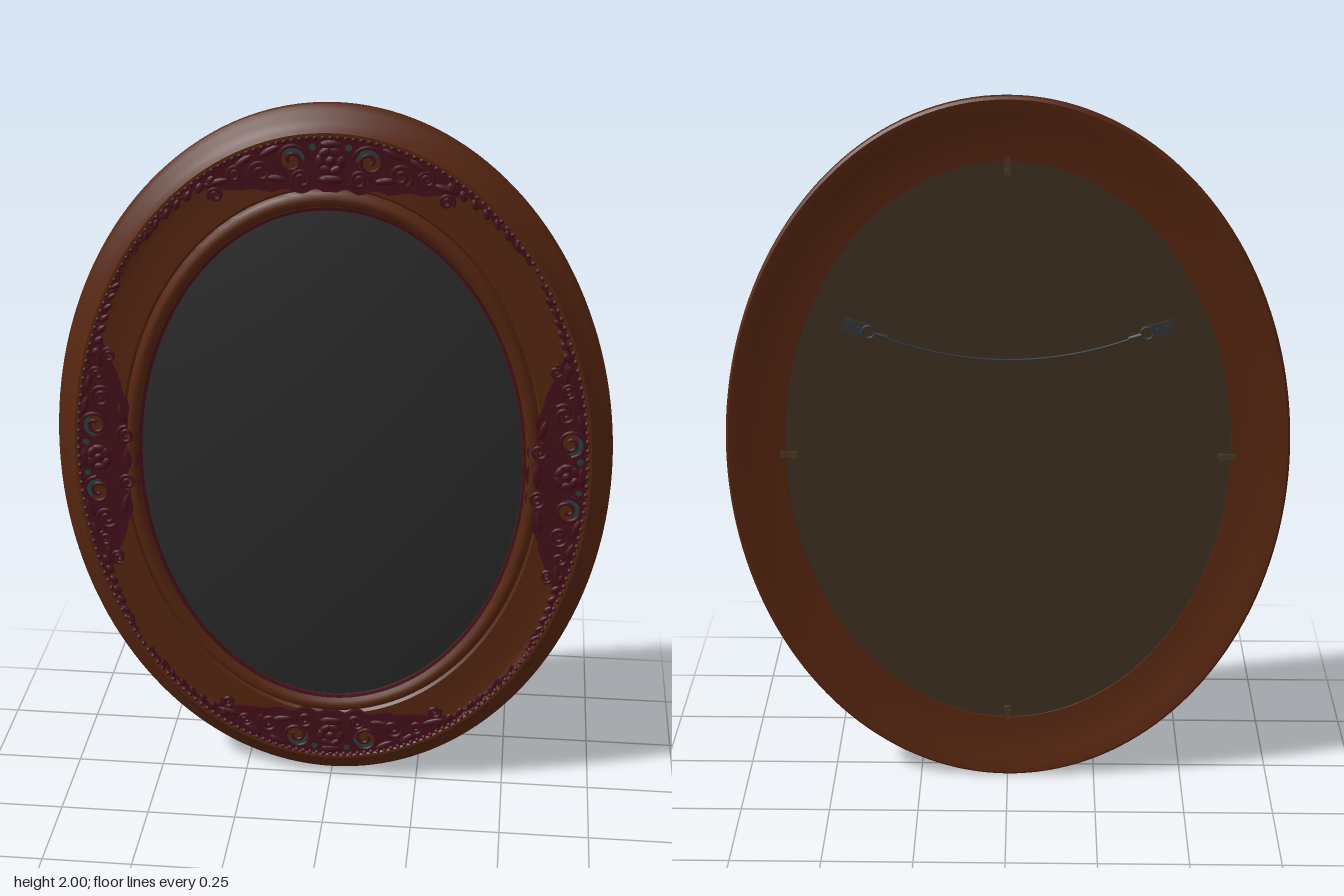
import * as THREE from 'three';
import { mergeGeometries, toCreasedNormals } from 'three/addons/utils/BufferGeometryUtils.js';

const flat = (name, color, side = THREE.FrontSide) => {
  const m = new THREE.MeshStandardMaterial({ color, side });
  m.name = name;
  return m;
};

// Point on the oval frame: t = angle, s = 0 at the outer rim and 1 at the mirror.
const at = (t, s, z = 0) =>
  new THREE.Vector3((0.765 - 0.245 * s) * Math.cos(t), 1 + (1 - 0.275 * s) * Math.sin(t), z);

// Angle that turns local +y to point outward from the oval at t.
const facing = (t) => Math.atan2(0.64 * Math.sin(t), 0.86 * Math.cos(t)) - Math.PI / 2;

// Sweeps a closed [s, z] profile round the oval.
function ovalSweep(profile, steps = 160) {
  const pos = [], idx = [], n = profile.length;
  for (let i = 0; i < steps; i++)
    for (const [s, z] of profile) pos.push(...at((i / steps) * Math.PI * 2, s, z).toArray());
  for (let i = 0; i < steps; i++)
    for (let j = 0; j < n; j++) {
      const i2 = (i + 1) % steps, j2 = (j + 1) % n;
      const a = i * n + j, b = i2 * n + j, c = i * n + j2, d = i2 * n + j2;
      idx.push(a, b, c, b, d, c);
    }
  const g = new THREE.BufferGeometry();
  g.setAttribute('position', new THREE.Float32BufferAttribute(pos, 3));
  g.setIndex(idx);
  return toCreasedNormals(g, 0.7);
}

export function createModel() {
  const wood = flat('brown wood', 0x572610);
  const red = flat('dark red carving', 0x45101a);
  const teal = flat('dark teal inlay', 0x28403f);
  const glass = flat('dark mirror', 0x2b2b2b);
  const board = flat('backing board', 0x3e3020);
  const metal = flat('dark metal', 0x33363a);
  const brass = flat('clip metal', 0x4a3a22);

  const model = new THREE.Group();
  const add = (name, geo, mat, parent = model) => {
    const m = new THREE.Mesh(geo, mat);
    m.name = name;
    parent.add(m);
    return m;
  };

  // Moulded wooden frame with hollowed back
  add('frame', ovalSweep([
    [0.03, -0.062], [0.005, -0.057], [0, -0.045], [0.01, -0.034], [0.05, -0.026], [0.11, -0.018],
    [0.17, -0.006], [0.21, 0.008], [0.23, 0.015], [0.26, 0.015], [0.285, 0.008], [0.36, 0.003],
    [0.5, 0.002], [0.65, 0.003], [0.76, 0.004], [0.785, -0.004], [0.81, 0.008], [0.84, 0.014],
    [0.88, 0.015], [0.92, 0.011], [0.95, 0.003], [1.0, -0.003], [1.01, -0.02],
    [0.65, -0.02], [0.64, -0.03], [0.5, -0.034], [0.35, -0.041], [0.2, -0.051], [0.1, -0.059],
  ]), wood);
  add('mirrorBorder', ovalSweep([[0.95, 0], [0.955, 0.006], [0.985, 0.004], [0.99, -0.004]]), red);

  // Domed mirror
  const dome = [];
  for (let i = 0; i <= 16; i++) {
    const r = 1 - i / 16;
    dome.push(new THREE.Vector2(r, 0.06 * (1 - r * r)));
  }
  const mirror = new THREE.LatheGeometry(dome, 96);
  mirror.rotateX(Math.PI / 2);
  mirror.scale(0.522, 0.727, 1);
  add('mirror', mirror, glass).position.set(0, 1, -0.001);

  // Backing board
  const back = new THREE.CircleGeometry(1, 96);
  back.rotateY(Math.PI);
  back.scale(0.612, 0.826, 1);
  add('backingBoard', back, board).position.set(0, 1, -0.027);

  // Bead string round the outer edge of the cove
  const beads = [];
  for (let i = 0; i < 220; i++) {
    const p = at((i / 220) * Math.PI * 2, 0.275, 0.01);
    beads.push(new THREE.IcosahedronGeometry(0.0075, 1).translate(p.x, p.y, p.z));
  }
  add('beading', mergeGeometries(beads), red);

  // Four carved ornaments: L is arc length from the ornament's middle
  for (let k = 0; k < 4; k++) {
    const t0 = (k * Math.PI) / 2, upright = k % 2 === 1;
    const perUnit = upright ? 1 / 0.65 : 1 / 0.87;
    const inner = upright ? 0.8 : 0.95;
    const T = (L) => t0 + L * perUnit;
    const g = new THREE.Group();
    g.name = ['left', 'top', 'right', 'bottom'][k] + 'Ornament';
    model.add(g);

    // Scalloped base plate tapering along the frame
    const outer = [], inside = [];
    for (let i = -48; i <= 48; i++) {
      const L = (i / 48) * 0.36, v = Math.abs(i / 48);
      const edge = 0.31 + (inner - 0.31) * Math.pow(1 - v * v, 0.9)
        + 0.03 * Math.cos(v * 26) * (1 - v);
      outer.push(at(T(L), 0.25));
      inside.unshift(at(T(L), Math.min(edge, inner)));
    }
    const plate = new THREE.Shape([...outer, ...inside].map((p) => new THREE.Vector2(p.x, p.y)));
    add('carvedPlate', new THREE.ExtrudeGeometry(plate, { depth: 0.012, bevelEnabled: false }), red, g)
      .position.z = -0.001;

    const place = (m, L, s, z, turn = 0) => {
      m.position.copy(at(T(L), s, z));
      m.rotation.z = facing(T(L)) + turn;
      return m;
    };
    const leaf = (L, s, w, h, turn) => {
      const geo = new THREE.SphereGeometry(1, 10, 6);
      geo.scale(w, h, 0.006);
      place(add('leaf', geo, red, g), L, s, 0.012, turn);
    };
    // Spiral scroll
    const scroll = (L, s, r, dir, turn) => {
      const pts = [];
      for (let i = 0; i <= 22; i++) {
        const a = (i / 22) * Math.PI * 3.2, q = r * (1 - 0.8 * (i / 22));
        pts.push(new THREE.Vector3(dir * q * Math.cos(a), q * Math.sin(a), 0));
      }
      const tube = new THREE.TubeGeometry(new THREE.CatmullRomCurve3(pts), 44, 0.0055, 6);
      place(add('scroll', tube, red, g), L, s, 0.012, turn);
    };

    // Central rosette
    for (let i = 0; i < 6; i++) {
      const a = (i / 6) * Math.PI * 2;
      leaf(0.028 * Math.cos(a), 0.5 + 0.1 * Math.sin(a), 0.012, 0.02, a);
    }
    leaf(0, 0.5, 0.013, 0.013, 0);
    leaf(0, 0.34, 0.03, 0.012, 0);
    leaf(0, inner - 0.12, 0.035, 0.013, 0);

    for (const d of [-1, 1]) {
      // Pierced eye: wood showing through with a teal crescent
      place(add('piercedEye', new THREE.CircleGeometry(0.03, 20), wood, g), d * 0.1, 0.46, 0.0125);
      const crescent = new THREE.Shape();
      crescent.absarc(0, 0, 0.034, 0, Math.PI, false);
      crescent.absellipse(0, 0, 0.034, 0.014, Math.PI, 0, true);
      place(add('eyeInlay', new THREE.ShapeGeometry(crescent), teal, g), d * 0.1, 0.46, 0.0135, -d * 0.4);
      place(add('sideInlay', new THREE.CircleGeometry(0.009, 10), teal, g), d * 0.045, 0.36, 0.0135);

      scroll(d * 0.1, 0.46, 0.042, d, 0);
      scroll(d * 0.185, 0.5, 0.032, -d, 0.6 * d);
      scroll(d * 0.08, inner - 0.14, 0.026, -d, 0);
      scroll(d * 0.25, 0.42, 0.022, d, 0);
      // Curl reaching out over the cove
      scroll(d * 0.315, 0.5, 0.02, -d, 0);
      leaf(d * 0.15, 0.33, 0.03, 0.01, d * 0.2);
      leaf(d * 0.22, 0.34, 0.03, 0.01, d * 0.2);
      leaf(d * 0.15, inner - 0.2, 0.03, 0.01, -d * 0.4);
      leaf(d * 0.3, 0.4, 0.035, 0.01, -d * 0.3);

      // Trailing vine along the outer edge
      const vine = [];
      for (let i = 0; i <= 16; i++)
        vine.push(at(T(d * (0.3 + i * 0.016)), 0.315 + 0.02 * Math.sin(i * 1.6), 0.006));
      add('vine', new THREE.TubeGeometry(new THREE.CatmullRomCurve3(vine), 64, 0.006, 5), red, g);
      for (let i = 0; i < 7; i++)
        leaf(d * (0.31 + i * 0.033), 0.36 - i * 0.008, 0.016, 0.011 - i * 0.0008, d * 0.5);
    }

    // Retaining clip on the back
    const clip = new THREE.Group();
    clip.name = 'boardClip';
    place(clip, 0, 0.69, -0.032);
    add('clipTab', new THREE.BoxGeometry(0.016, 0.05, 0.005), brass, clip);
    const screw = add('clipScrew', new THREE.CylinderGeometry(0.011, 0.011, 0.008, 12), brass, clip);
    screw.rotation.x = Math.PI / 2;
    screw.position.set(0, -0.015, -0.004);
    model.add(clip);
  }

  // Hanging hardware: two plates with rings and a sagging wire
  for (const d of [-1, 1]) {
    const h = new THREE.Group();
    h.name = d > 0 ? 'leftHanger' : 'rightHanger';
    h.position.set(d * 0.41, 1.37, -0.031);
    h.rotation.z = d * 0.3;
    add('hangerPlate', new THREE.BoxGeometry(0.06, 0.036, 0.006), metal, h);
    for (const x of [-0.016, 0.016]) {
      const s = add('hangerScrew', new THREE.CylinderGeometry(0.007, 0.007, 0.006, 10), metal, h);
      s.rotation.x = Math.PI / 2;
      s.position.set(x, 0, -0.005);
    }
    add('hangerRing', new THREE.TorusGeometry(0.017, 0.0035, 6, 18), metal, h).position.set(-d * 0.042, 0, -0.003);
    const knot = add('wireKnot', new THREE.CylinderGeometry(0.006, 0.005, 0.035, 8), metal, h);
    knot.rotation.z = Math.PI / 2;
    knot.position.set(-d * 0.075, 0, -0.003);
    model.add(h);
  }
  const wire = new THREE.QuadraticBezierCurve3(
    new THREE.Vector3(-0.35, 1.35, -0.034), new THREE.Vector3(0, 1.21, -0.036), new THREE.Vector3(0.35, 1.35, -0.034));
  add('hangingWire', new THREE.TubeGeometry(wire, 40, 0.003, 6), metal);

  return model;
}
